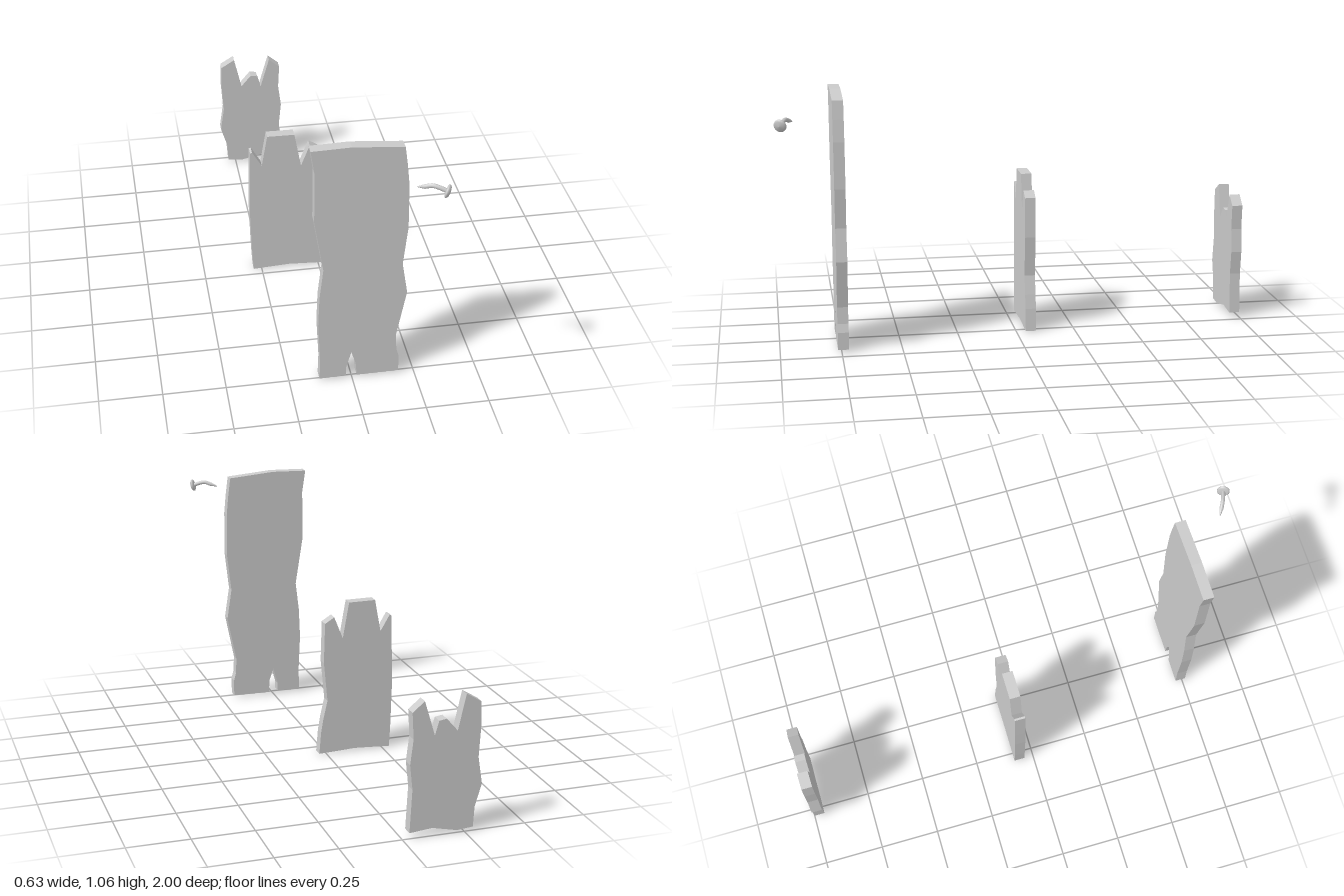
import * as THREE from 'three';

const THICKNESS = 0.045;

function material() {
  return new THREE.MeshStandardMaterial({ color: 0xcccccc });
}

// A board cut from an outline in x and y, with its back face at z
function plank(name, outline, z) {
  const shape = new THREE.Shape(outline.map(([x, y]) => new THREE.Vector2(x, y)));
  const geometry = new THREE.ExtrudeGeometry(shape, { depth: THICKNESS, bevelEnabled: false });
  const mesh = new THREE.Mesh(geometry, material());
  mesh.name = name;
  mesh.position.z = z;
  return mesh;
}

// Bent nail: a tube narrowing to its tip, with a domed head
function bentNail() {
  const nail = new THREE.Group();
  nail.name = 'bentNail';
  const path = new THREE.CatmullRomCurve3([
    new THREE.Vector3(0.2, 0.969, 0.922),
    new THREE.Vector3(0.225, 0.976, 0.936),
    new THREE.Vector3(0.25, 0.985, 0.949),
    new THREE.Vector3(0.272, 0.981, 0.959),
    new THREE.Vector3(0.3, 0.97, 0.97),
  ]);
  const steps = 16, sides = 10;
  const shaftGeometry = new THREE.TubeGeometry(path, steps, 0.0085, sides);
  const position = shaftGeometry.attributes.position;
  const vertex = new THREE.Vector3();
  for (let i = 0; i <= steps; i++) {
    const t = i / steps;
    const center = path.getPointAt(t);
    const taper = Math.min(1, 0.15 + t * 3.5);
    for (let j = 0; j <= sides; j++) {
      const k = i * (sides + 1) + j;
      vertex.fromBufferAttribute(position, k).sub(center).multiplyScalar(taper).add(center);
      position.setXYZ(k, vertex.x, vertex.y, vertex.z);
    }
  }
  shaftGeometry.computeVertexNormals();
  const shaft = new THREE.Mesh(shaftGeometry, material());
  shaft.material.side = THREE.DoubleSide;
  shaft.name = 'nailShaft';

  const profile = [[0, -0.006], [0.02, -0.006], [0.026, -0.002], [0.026, 0.003], [0.019, 0.009], [0, 0.012]];
  const head = new THREE.Mesh(
    new THREE.LatheGeometry(profile.map(([r, y]) => new THREE.Vector2(r, y)), 16), material());
  head.name = 'nailHead';
  head.position.set(0.301, 0.97, 0.971);
  head.quaternion.setFromUnitVectors(
    new THREE.Vector3(0, 1, 0), new THREE.Vector3(0.88, -0.26, 0.4).normalize());
  nail.add(shaft, head);
  return nail;
}

export function createModel() {
  const model = new THREE.Group();
  model.name = 'brokenPlanks';

  // Long board with a split at the bottom
  model.add(plank('longPlank', [
    [-0.13, 0.01], [-0.024, 0.014], [-0.024, 0.05], [-0.003, 0.125], [0.015, 0.07], [0.02, 0.01],
    [0.188, 0.012], [0.188, 0.085], [0.178, 0.12], [0.175, 0.19], [0.214, 0.39], [0.193, 0.525],
    [0.211, 0.69], [0.209, 0.88], [0.2, 0.97], [0.19, 1.045], [-0.01, 1.062], [-0.163, 1.058],
    [-0.148, 0.96], [-0.15, 0.75], [-0.115, 0.53], [-0.13, 0.4], [-0.135, 0.27], [-0.127, 0.1],
  ], 0.72));

  // Middle board, snapped off with a broad tooth
  model.add(plank('middlePlank', [
    [-0.285, 0.003], [-0.13, 0.012], [0.03, 0.004], [0.022, 0.1], [0.012, 0.16], [-0.006, 0.24],
    [0.01, 0.41], [0.005, 0.58], [-0.035, 0.605], [-0.073, 0.51], [-0.1, 0.663], [-0.215, 0.664],
    [-0.24, 0.525], [-0.28, 0.593], [-0.288, 0.59], [-0.293, 0.4], [-0.295, 0.28], [-0.29, 0.1],
  ], -0.085));

  // Short board, snapped off with two tall splinters
  model.add(plank('shortPlank', [
    [-0.285, 0.018], [-0.22, 0.012], [-0.12, 0.035], [-0.028, 0.026], [-0.037, 0.2], [-0.026, 0.3],
    [-0.038, 0.4], [-0.032, 0.505], [-0.08, 0.545], [-0.122, 0.406], [-0.138, 0.462], [-0.168, 0.467],
    [-0.213, 0.415], [-0.245, 0.556], [-0.305, 0.52], [-0.307, 0.42], [-0.3, 0.3], [-0.317, 0.19],
    [-0.29, 0.1],
  ], -1));

  model.add(bentNail());
  return model;
}
